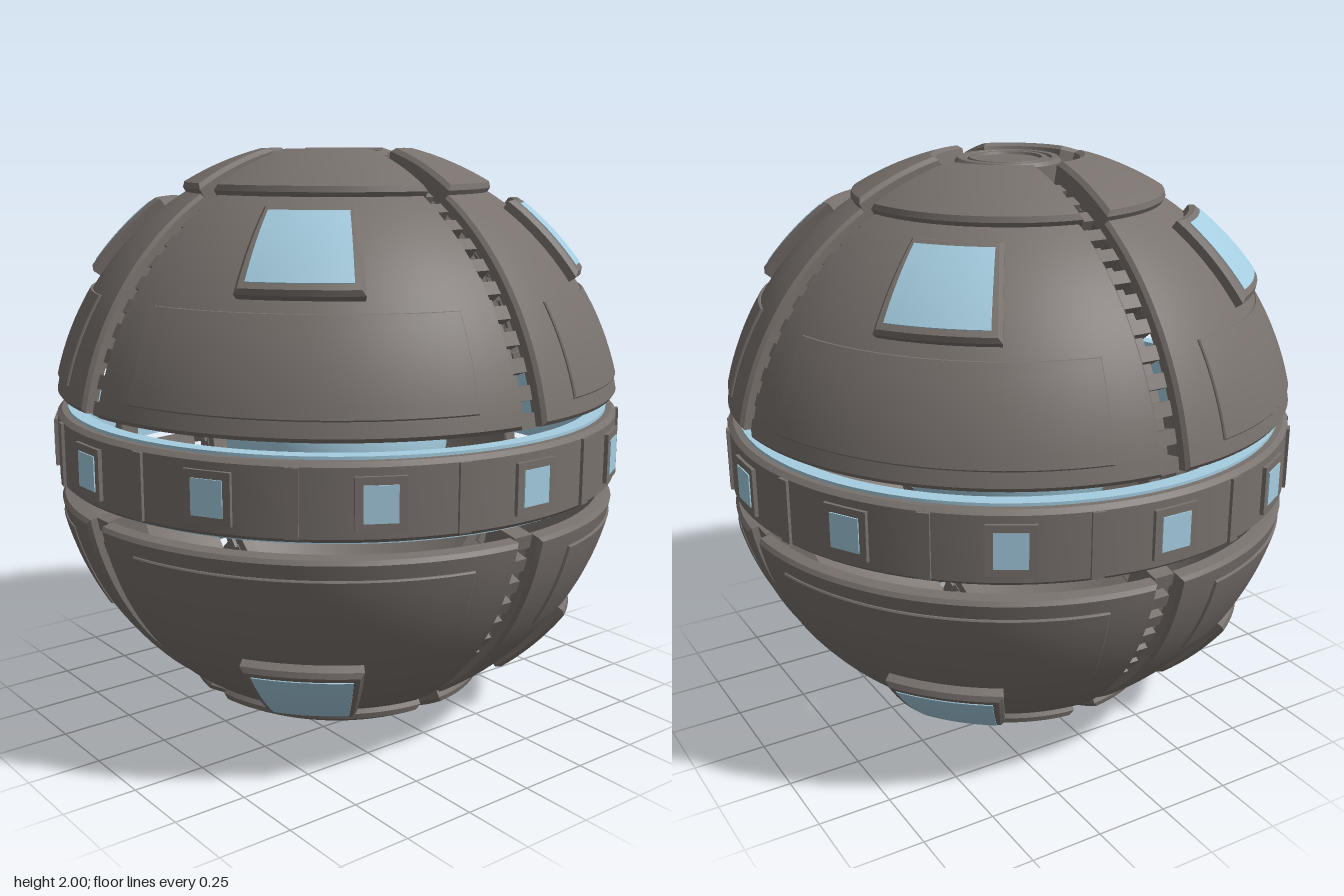
import * as THREE from 'three';
import { toCreasedNormals } from 'three/addons/utils/BufferGeometryUtils.js';

const RAD = Math.PI / 180;
const GAP = 0.043; // half width of the slots between the shell segments

// Azimuth limits: a fixed angular span, or edges parallel to the slots.
const span = (mid, half) => () => [(mid - half) * RAD, (mid + half) * RAD];
const quadrant = (lat, r) => {
  const a = Math.asin(GAP / (r * Math.cos(lat)));
  return [a, Math.PI / 2 - a];
};
const strip = (w) => (lat, r) => {
  const a = Math.asin(w / (r * Math.cos(lat)));
  return [-a, a];
};

// Closed, chamfered block cut from a spherical shell (latitudes in degrees).
function patch(r0, r1, lat0, lat1, azimuth, bevel, nu, nv) {
  const pos = [];
  const point = (i, j, inner) => {
    const level = Math.max(0, -i, i - nu, -j, j - nv);
    const r = inner || level === 2 ? r0 : level === 1 ? r1 - bevel : r1;
    const inset = inner || level > 0 ? 0 : bevel;
    const u = THREE.MathUtils.clamp(i / nu, 0, 1);
    const v = THREE.MathUtils.clamp(j / nv, 0, 1);
    const lat = THREE.MathUtils.lerp(lat0 * RAD + inset / r1, lat1 * RAD - inset / r1, v);
    const [a0, a1] = azimuth(lat, r);
    const da = inset / (r * Math.cos(lat));
    const az = THREE.MathUtils.lerp(a0 + da, a1 - da, u);
    return [r * Math.cos(lat) * Math.sin(az), r * Math.sin(lat), r * Math.cos(lat) * Math.cos(az)];
  };
  const quad = (a, b, c, d) => pos.push(...a, ...b, ...c, ...a, ...c, ...d);
  for (let i = -2; i < nu + 2; i++) {
    for (let j = -2; j < nv + 2; j++) {
      quad(point(i, j), point(i + 1, j), point(i + 1, j + 1), point(i, j + 1));
    }
  }
  for (let i = 0; i < nu; i++) {
    for (let j = 0; j < nv; j++) {
      quad(point(i, j, true), point(i, j + 1, true), point(i + 1, j + 1, true), point(i + 1, j, true));
    }
  }
  const g = new THREE.BufferGeometry();
  g.setAttribute('position', new THREE.Float32BufferAttribute(pos, 3));
  return toCreasedNormals(g, 0.5);
}

function lathe(points, segments) {
  const pts = points.map(([x, y]) => new THREE.Vector2(x, y));
  return toCreasedNormals(new THREE.LatheGeometry(pts, segments), 0.5);
}

export function createModel() {
  const model = new THREE.Group();
  model.name = 'segmentedSphere';
  const hull = new THREE.MeshStandardMaterial({ color: 0x78716d });
  hull.name = 'warmGreyHull';
  const glass = new THREE.MeshStandardMaterial({ color: 0xa5cde0 });
  glass.name = 'paleBlueGlass';

  const add = (parent, name, geometry, material) => {
    const m = new THREE.Mesh(geometry, material);
    m.name = name;
    parent.add(m);
    return m;
  };

  const body = new THREE.Group();
  body.name = 'body';
  body.position.y = 1;
  model.add(body);

  // Glowing core
  add(body, 'core', new THREE.SphereGeometry(0.4, 48, 32), glass);

  // Shared geometries for the shell quarters
  const shellGeo = patch(0.95, 1.0, 10.3, 60, quadrant, 0.012, 28, 20);
  const panelGeo = patch(0.98, 1.008, 13.8, 32, span(45, 33), 0.004, 24, 8);
  const frameGeo = patch(0.98, 1.042, 34.5, 53.5, span(45, 13.5), 0.014, 8, 8);
  const paneGeo = patch(1.037, 1.045, 36.4, 51.7, span(45, 11.2), 0.001, 8, 8);
  const capGeo = patch(0.95, 1.031, 58.5, 76.2, quadrant, 0.014, 24, 8);
  const wideTooth = new THREE.BoxGeometry(0.074, 0.046, 0.09);
  const slimTooth = new THREE.BoxGeometry(0.05, 0.05, 0.06);
  const spokeGeo = new THREE.BoxGeometry(0.035, 0.05, 0.12);

  // Pole hub with stepped rings
  const hubGeo = lathe([
    [0, 0.88], [0.16, 0.88], [0.18, 0.9], [0.18, 0.975], [0.17, 0.988], [0.148, 0.988],
    [0.144, 0.98], [0.136, 0.98], [0.132, 0.988], [0.114, 0.988], [0.11, 0.979], [0, 0.979],
  ], 48);

  function hemisphere(name) {
    const half = new THREE.Group();
    half.name = name;
    for (let q = 0; q < 4; q++) {
      const quarter = new THREE.Group();
      quarter.name = 'shellQuarter';
      quarter.rotation.y = q * Math.PI / 2;
      half.add(quarter);
      add(quarter, 'shell', shellGeo, hull);
      add(quarter, 'raisedPanel', panelGeo, hull);
      add(quarter, 'windowFrame', frameGeo, hull);
      add(quarter, 'windowPane', paneGeo, glass);
      add(quarter, 'poleCap', capGeo, hull);

      // Spoke joining the hub to the cap
      const spoke = add(quarter, 'hubSpoke', spokeGeo, hull);
      spoke.position.set(0.21 * Math.SQRT1_2, 0.93, 0.21 * Math.SQRT1_2);
      spoke.rotation.y = Math.PI / 4;

      // Row of teeth along the slot
      for (let k = 0; k < 25; k++) {
        const lat = (11.5 + k * 2.55) * RAD;
        const wide = k % 2 === 0;
        const r = wide ? 0.92 : 0.9;
        const tooth = add(quarter, 'slotTooth', wide ? wideTooth : slimTooth, hull);
        tooth.position.set(0, r * Math.sin(lat), r * Math.cos(lat));
        tooth.rotation.x = -lat;
      }
    }
    add(half, 'poleHub', hubGeo, hull);
    body.add(half);
    return half;
  }
  hemisphere('upperHemisphere');
  hemisphere('lowerHemisphere').rotation.x = Math.PI;

  // Meridian rails behind the teeth
  const railGeo = patch(0.83, 0.89, -73, 73, strip(0.022), 0.004, 1, 60);
  for (let q = 0; q < 4; q++) {
    add(body, 'meridianRail', railGeo, hull).rotation.y = q * Math.PI / 2;
  }

  // Equator ring with its blue lining
  const belt = new THREE.Group();
  belt.name = 'equatorBelt';
  body.add(belt);
  add(belt, 'beltRing', lathe([
    [0.94, -0.122], [0.97, -0.122], [0.986, -0.108], [0.986, 0.108],
    [0.97, 0.122], [0.94, 0.122], [0.94, -0.122],
  ], 96), hull);
  add(belt, 'beltLining', lathe([
    [0.9, -0.132], [0.95, -0.132], [0.95, 0.132], [0.9, 0.132], [0.9, -0.132],
  ], 96), glass);

  // Belt windows and divider bars
  const portFrame = new THREE.BoxGeometry(0.155, 0.165, 0.04);
  const portPane = new THREE.BoxGeometry(0.105, 0.115, 0.006);
  const bar = new THREE.BoxGeometry(0.04, 0.215, 0.04);
  for (let i = 0; i < 12; i++) {
    const section = new THREE.Group();
    section.name = 'beltSection';
    section.rotation.y = i * 30 * RAD;
    belt.add(section);
    add(section, 'beltWindowFrame', portFrame, hull).position.z = 0.976;
    add(section, 'beltWindowPane', portPane, glass).position.z = 0.997;
    const divider = add(section, 'beltDivider', bar, hull);
    divider.position.set(0.976 * Math.sin(15 * RAD), 0, 0.976 * Math.cos(15 * RAD));
    divider.rotation.y = 15 * RAD;
  }
  return model;
}
